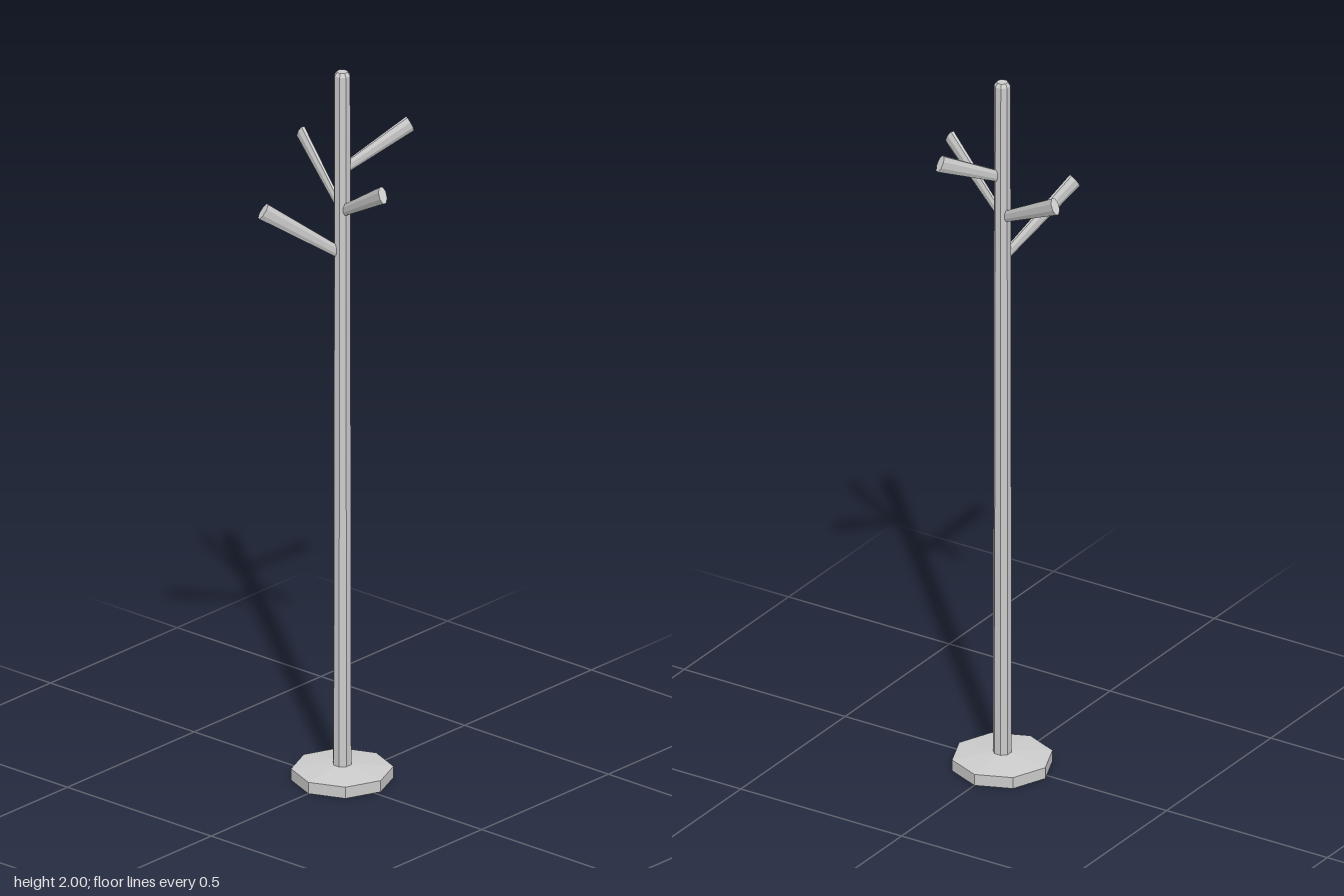
import * as THREE from 'three';

const material = new THREE.MeshStandardMaterial({ color: 0xcccccc, flatShading: true });
const SIDES = 8;

// Faceted solid of revolution from [radius, height] pairs, bottom to top
function turned(name, profile) {
  const points = profile.map(([r, y]) => new THREE.Vector2(r, y));
  const mesh = new THREE.Mesh(new THREE.LatheGeometry(points, SIDES), material);
  mesh.name = name;
  return mesh;
}

// Peg that widens towards its tip; its section is taller than it is wide
function peg(name, angle, rootY, tipY, reach) {
  const rise = tipY - rootY;
  const length = Math.hypot(reach, rise);
  const geometry = new THREE.CylinderGeometry(0.024, 0.015, length, SIDES);
  geometry.rotateY(Math.PI / SIDES);
  geometry.translate(0, length / 2, 0);
  geometry.scale(1, 1, 0.48);
  geometry.rotateZ(Math.atan2(rise, reach) - Math.PI / 2);
  geometry.rotateY(angle);
  const mesh = new THREE.Mesh(geometry, material);
  mesh.name = name;
  mesh.position.y = rootY;
  return mesh;
}

export function createModel() {
  const group = new THREE.Group();
  group.name = 'coatStand';
  const stand = new THREE.Group();
  stand.name = 'stand';
  stand.position.z = -0.017;
  group.add(stand);

  // Octagonal foot with a gently sloping top
  stand.add(turned('base', [[0, 0], [0.134, 0], [0.134, 0.032], [0, 0.046]]));

  // Slightly tapered pole with a bevelled end
  const pole = turned('pole', [[0, 0.02], [0.025, 0.02], [0.022, 1.99], [0.015, 2], [0, 2]]);
  pole.rotation.y = Math.PI / SIDES;
  stand.add(pole);

  // Four pegs a quarter turn apart at staggered heights
  const turn = -Math.PI / 8;
  stand.add(peg('leftPeg', turn, 1.605, 1.74, 0.241));
  stand.add(peg('backPeg', turn + Math.PI / 2, 1.722, 1.817, 0.197));
  stand.add(peg('rightPeg', turn + Math.PI, 1.605, 1.737, 0.244));
  stand.add(peg('frontPeg', turn - Math.PI / 2, 1.484, 1.647, 0.23));
  return group;
}
